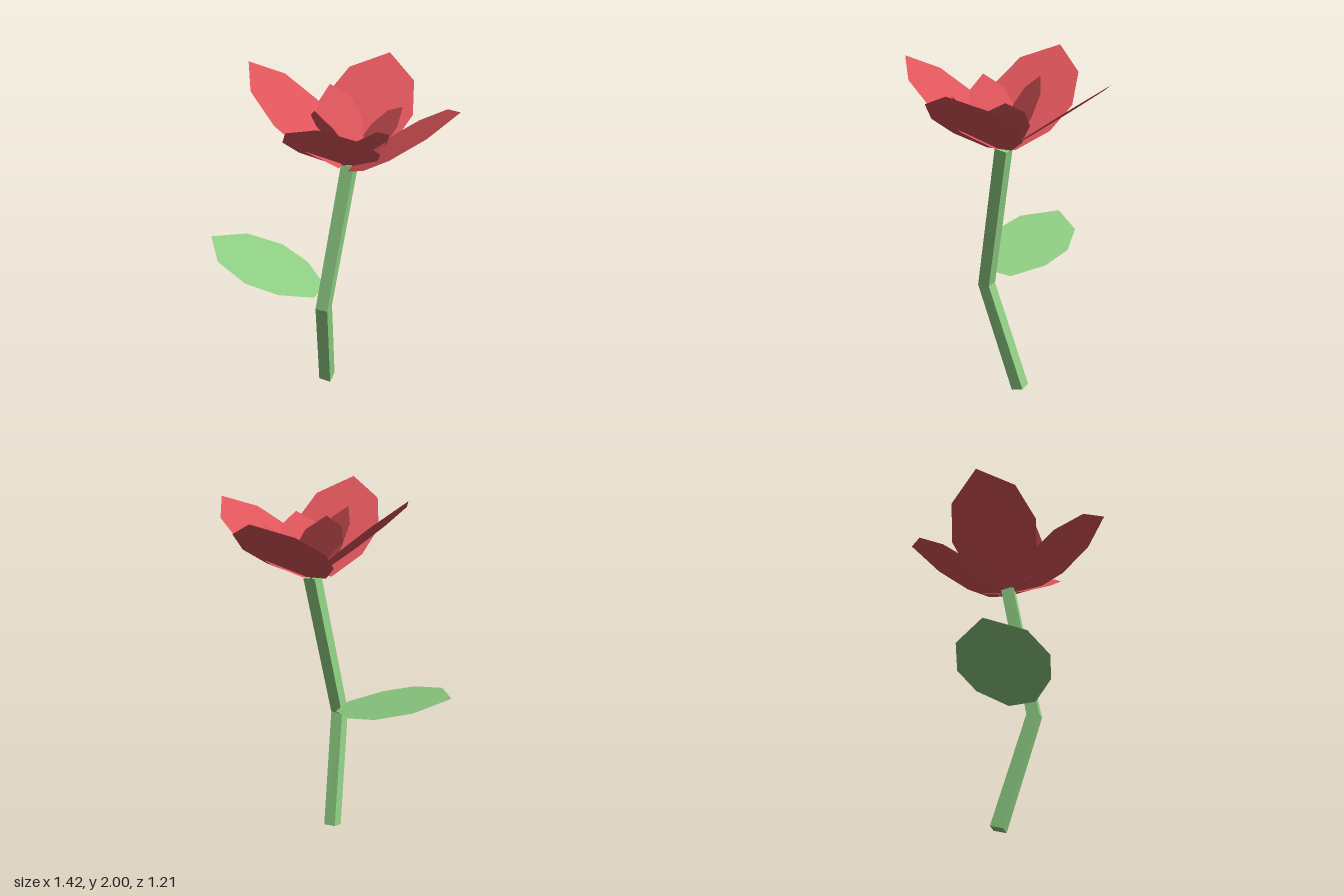
import * as THREE from 'three';

const red = new THREE.MeshStandardMaterial({ color: 0xdd555a, flatShading: true, side: THREE.DoubleSide });
const green = new THREE.MeshStandardMaterial({ color: 0x90d085, flatShading: true });
const leafGreen = new THREE.MeshStandardMaterial({ color: 0x90d085, flatShading: true, side: THREE.DoubleSide });

// Right half of the blade outline: x = share of half width, y = share of length
const HALF = [[0.3, 0.02], [0.82, 0.25], [1, 0.51], [0.75, 0.8]];

// Flat nine-sided blade from base to tip; side is its half-width vector
function blade(name, material, base, tip, side) {
  const mirrored = HALF.map(([x, y]) => [-x, y]).reverse();
  const outline = [...HALF, [0, 1], ...mirrored].map(([x, y]) => new THREE.Vector2(x, y));
  const start = new THREE.Vector3(...base);
  const along = new THREE.Vector3(...tip).sub(start);
  const across = new THREE.Vector3(...side);
  const normal = across.clone().cross(along).normalize();
  const placement = new THREE.Matrix4().makeBasis(across, along, normal).setPosition(start);
  const geometry = new THREE.ShapeGeometry(new THREE.Shape(outline)).applyMatrix4(placement);
  geometry.computeVertexNormals();
  const mesh = new THREE.Mesh(geometry, material);
  mesh.name = name;
  return mesh;
}

// Square stem bent at one knee, with ends cut square to its direction
function createStem() {
  const geometry = new THREE.BoxGeometry(0.072, 2, 0.072, 1, 2, 1);
  const rings = [
    { x: -0.025, y: 0.015, z: -0.005, slopeX: -0.09, slopeZ: -0.27 },
    { x: 0.035, y: 0.665, z: 0.185, slopeX: 0, slopeZ: -0.03 },
    { x: 0.12, y: 1.517, z: 0.018, slopeX: -0.09, slopeZ: 0.19 },
  ];
  const p = geometry.attributes.position;
  for (let i = 0; i < p.count; i++) {
    const r = rings[Math.round(p.getY(i)) + 1];
    const dx = p.getX(i), dz = p.getZ(i);
    p.setXYZ(i, r.x + dx, r.y + r.slopeX * dx + r.slopeZ * dz, r.z + dz);
  }
  geometry.computeVertexNormals();
  const stem = new THREE.Mesh(geometry, green);
  stem.name = 'stem';
  return stem;
}

export function createModel() {
  const model = new THREE.Group();
  model.name = 'flower';
  model.add(createStem());
  model.add(blade('leaf', leafGreen, [0.0, 0.72, 0.13], [-0.715, 0.915, 0.098], [0, 0.016, 0.255]));

  // Four large outer petals
  const outer = new THREE.Group();
  outer.name = 'outerPetals';
  outer.add(
    blade('frontPetal', red, [0.09, 1.51, 0.035], [0.18, 1.985, 0.605], [0.255, 0, -0.03]),
    blade('backPetal', red, [0.09, 1.51, 0.0], [0.115, 1.925, -0.605], [0.257, -0.015, 0]),
    blade('leftPetal', red, [0.13, 1.51, 0.035], [0.71, 1.915, 0.005], [-0.005, 0, -0.257]),
    blade('rightPetal', red, [0.11, 1.51, 0.035], [-0.48, 2.0, -0.015], [0.015, -0.03, -0.257]),
  );
  model.add(outer);

  // Four small inner petals, set on the diagonals
  const inner = new THREE.Group();
  inner.name = 'innerPetals';
  const tips = [[-0.05, 1.9, -0.115], [0.36, 1.83, -0.13], [0.0, 1.89, 0.215], [0.34, 1.83, 0.21]];
  for (const tip of tips) {
    const base = [0.125, 1.515, 0.025];
    const dx = tip[0] - base[0], dz = tip[2] - base[2];
    const k = 0.14 / Math.hypot(dx, dz);
    inner.add(blade('innerPetal', red, base, tip, [-dz * k, 0, dx * k]));
  }
  model.add(inner);
  return model;
}
